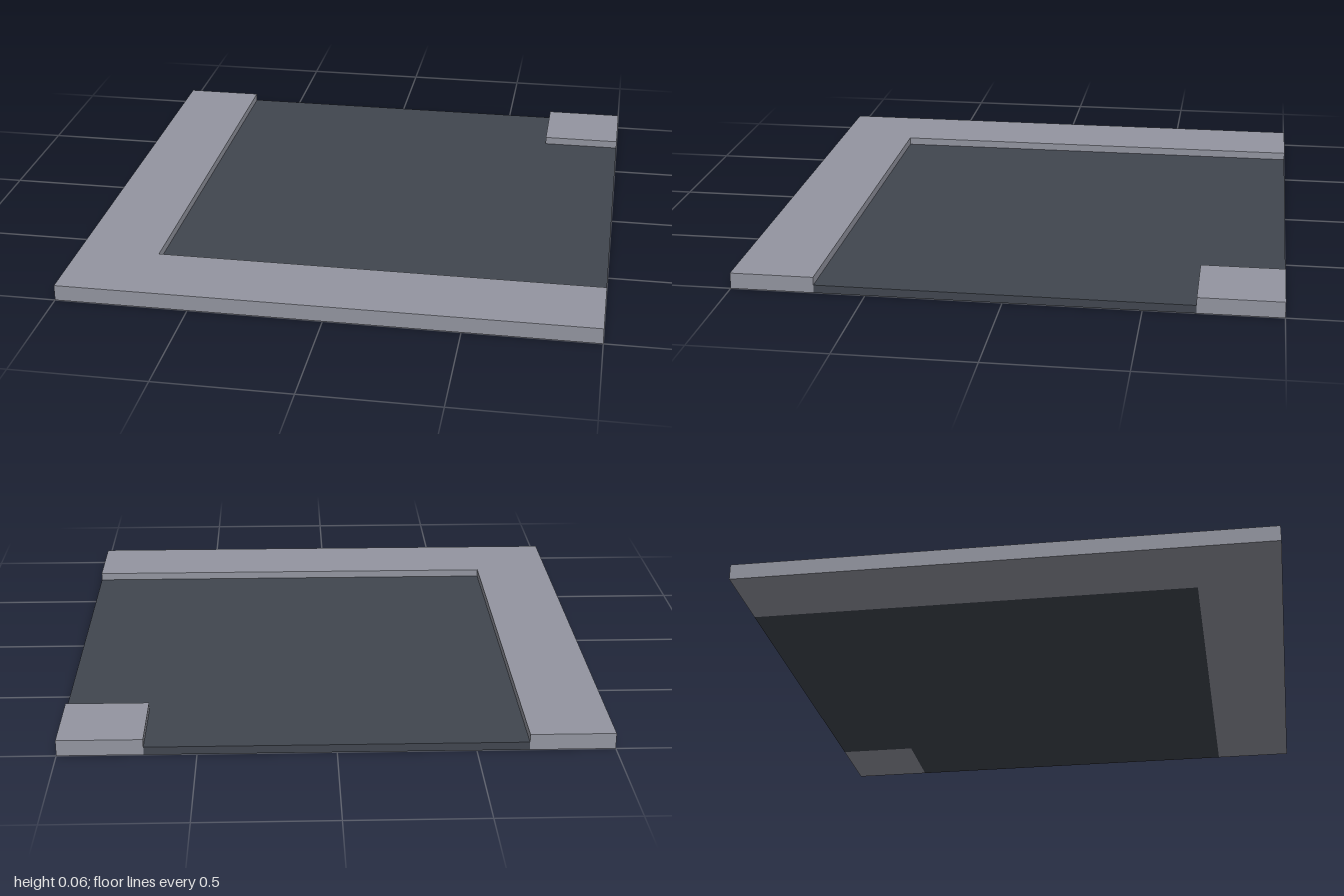
import * as THREE from 'three';

const EDGE = 0.69; // where road meets pavement
const PAVEMENT_TOP = 0.06;
const ROAD_TOP = 0.03;

// Extrudes a ground outline of [x, z] points from y = 0 up to the given height
function slab(name, outline, height, material) {
  const shape = new THREE.Shape(outline.map(([x, z]) => new THREE.Vector2(x, -z)));
  const geometry = new THREE.ExtrudeGeometry(shape, { depth: height, bevelEnabled: false });
  geometry.rotateX(-Math.PI / 2);
  const mesh = new THREE.Mesh(geometry, material);
  mesh.name = name;
  return mesh;
}

export function createModel() {
  const pavement = new THREE.MeshStandardMaterial({ color: 0x9395a0 });
  pavement.name = 'pavement grey';
  const asphalt = new THREE.MeshStandardMaterial({ color: 0x41464f });
  asphalt.name = 'asphalt';

  const model = new THREE.Group();
  model.name = 'roadCornerTile';

  // L-shaped pavement along the left-hand and front edges of the plan
  model.add(slab('outerPavement', [
    [-1, -1], [-1, 1], [1, 1], [1, EDGE], [-EDGE, EDGE], [-EDGE, -1],
  ], PAVEMENT_TOP, pavement));

  // Small square pavement on the inside of the bend
  model.add(slab('innerPavement', [
    [EDGE, -1], [EDGE, -EDGE], [1, -EDGE], [1, -1],
  ], PAVEMENT_TOP, pavement));

  // Sunken road bend between the two pavements
  model.add(slab('road', [
    [-EDGE, -1], [-EDGE, EDGE], [1, EDGE], [1, -EDGE], [EDGE, -EDGE], [EDGE, -1],
  ], ROAD_TOP, asphalt));

  return model;
}
